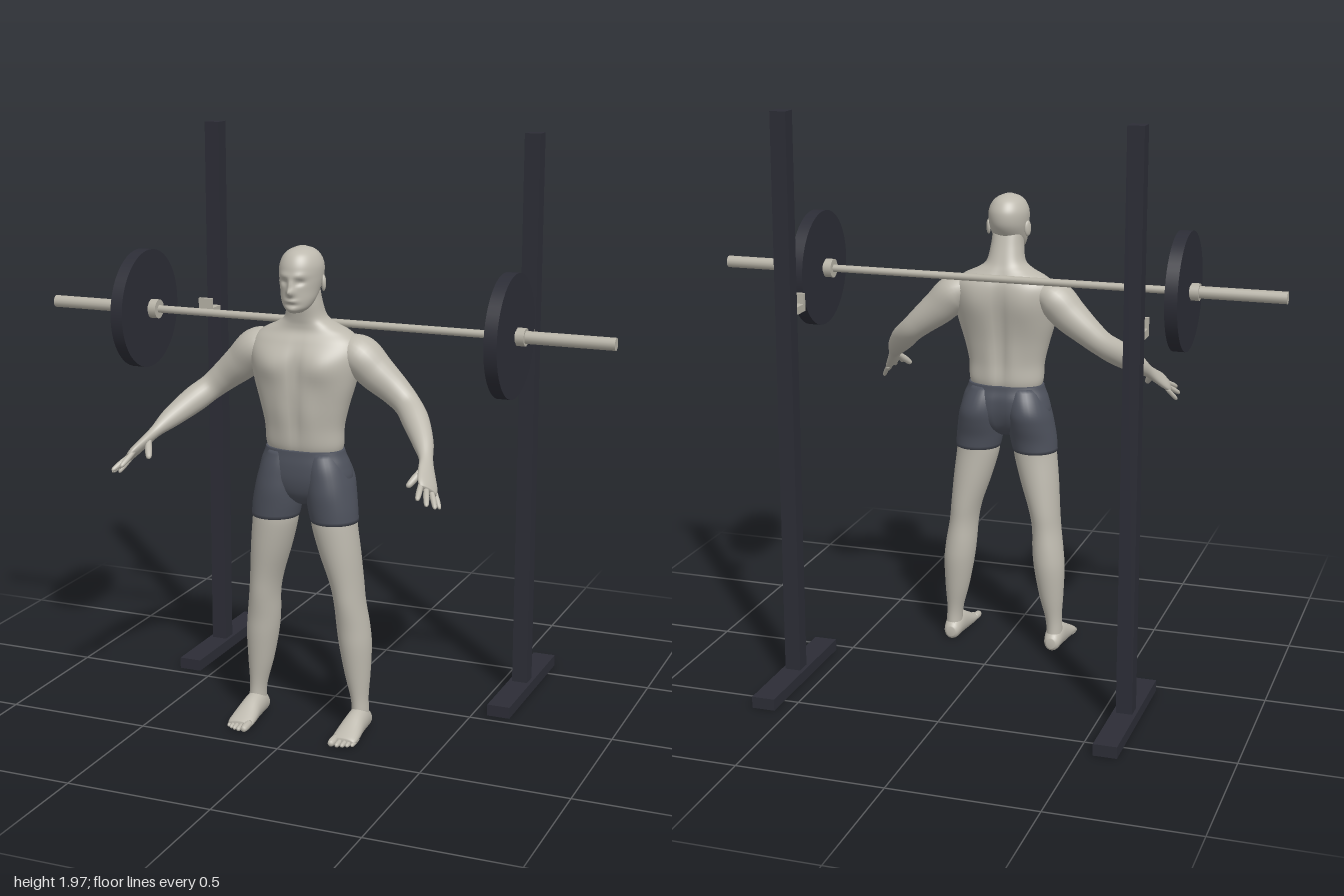
import * as THREE from 'three';

const V = (x, y, z) => new THREE.Vector3(x, y, z);
const X = V(1, 0, 0), Y = V(0, 1, 0), Z = V(0, 0, 1);
const material = (name, color) => Object.assign(new THREE.MeshStandardMaterial({ color }), { name });

// Smooth closed tube through sections [x, y, z, radiusAcross, radiusAlongRef].
// A fixed axis keeps every ring parallel; otherwise rings follow the path.
function loft(sections, { ref = Z, axis = null, sides = 24, detail = 4, power = 2, shape = null } = {}) {
  const path = new THREE.CatmullRomCurve3(sections.map(s => V(s[0], s[1], s[2])), false, 'catmullrom');
  const radii = new THREE.CatmullRomCurve3(sections.map(s => V(s[3], s[4], 0)), false, 'catmullrom');
  const steps = (sections.length - 1) * detail, pos = [], index = [];
  const soften = v => Math.sign(v) * Math.abs(v) ** (2 / power);
  for (let i = -1; i <= steps + 1; i++) {
    const t = Math.min(Math.max(i / steps, 0), 1), capped = i < 0 || i > steps;
    const c = path.getPoint(t), r = radii.getPoint(t);
    const T = axis || path.getTangent(t);
    const side = T.clone().cross(ref).normalize(), up = side.clone().cross(T).normalize();
    for (let j = 0; j < sides; j++) {
      const a = j / sides * Math.PI * 2, k = capped ? 0 : 1;
      const p = c.clone().addScaledVector(side, k * r.x * soften(Math.cos(a)))
        .addScaledVector(up, k * r.y * soften(Math.sin(a)));
      if (shape) shape(p, c);
      pos.push(p.x, p.y, p.z);
    }
  }
  for (let i = 0; i < steps + 2; i++) {
    for (let j = 0; j < sides; j++) {
      const a = i * sides + j, b = i * sides + (j + 1) % sides;
      index.push(a, a + sides, b, b, a + sides, b + sides);
    }
  }
  const geo = new THREE.BufferGeometry();
  geo.setAttribute('position', new THREE.Float32BufferAttribute(pos, 3));
  geo.setIndex(index);
  geo.computeVertexNormals();
  return geo;
}

// Mirrors a geometry across x = 0, keeping its faces outward
function mirrored(geo) {
  const g = geo.index ? geo.toNonIndexed() : geo.clone();
  g.scale(-1, 1, 1);
  for (const attr of Object.values(g.attributes)) {
    const n = attr.itemSize, a = attr.array;
    for (let i = 0; i < attr.count; i += 3) {
      for (let k = 0; k < n; k++) {
        const q = (i + 1) * n + k;
        [a[q], a[q + n]] = [a[q + n], a[q]];
      }
    }
  }
  return g;
}

// Soft swelling (or groove, when negative) at x, y on the front or back of a body
const bump = (p, x, y, wx, wy, amount) =>
  amount * Math.exp(-(((p.x - x) / wx) ** 2) - ((p.y - y) / wy) ** 2);

function shapeTorso(p, c) {
  const depth = THREE.MathUtils.clamp((p.z - c.z) / 0.07, -1, 1), { x: px, y } = p;
  const q = { x: Math.abs(px), y };
  if (depth > 0) {
    p.z += depth * (bump(q, 0.085, 1.255, 0.06, 0.05, 0.016) - bump(q, 0, 1.25, 0.012, 0.07, 0.008)
      - bump(q, 0, 1.08, 0.01, 0.1, 0.005) + bump(q, 0.045, 1.09, 0.03, 0.09, 0.006));
  } else {
    p.z += depth * (bump(q, 0.09, 1.27, 0.06, 0.08, 0.012) - bump(q, 0, 1.16, 0.02, 0.18, 0.014)
      + bump(q, 0.04, 1.04, 0.03, 0.08, 0.005));
  }
}

function shapeHead(p, c) {
  if (p.z < c.z + 0.02) return;
  const q = { x: Math.abs(p.x), y: p.y };
  p.z += bump(q, 0, 1.502, 0.012, 0.013, 0.02) + bump(q, 0, 1.525, 0.009, 0.02, 0.011)
    + bump(q, 0.025, 1.555, 0.025, 0.01, 0.005) - bump(q, 0.028, 1.534, 0.014, 0.01, 0.009)
    + bump(q, 0, 1.474, 0.02, 0.007, 0.006) - bump(q, 0, 1.461, 0.025, 0.006, 0.003)
    + bump(q, 0, 1.444, 0.018, 0.01, 0.005);
}

export function createModel() {
  const model = new THREE.Group();
  model.name = 'lifterWithRack';
  const skin = material('skin', 0xbdb9ae), cloth = material('shorts', 0x4d515c);
  const steel = material('steel', 0xb6b2a6), dark = material('darkFrame', 0x2c2d36);

  const add = (name, geo, mat) => {
    const mesh = new THREE.Mesh(geo, mat);
    mesh.name = name;
    model.add(mesh);
  };
  const pair = (name, geo, mat) => {
    add(name + 'Left', geo, mat);
    add(name + 'Right', mirrored(geo), mat);
  };
  const box = (w, h, d, x, y, z) => new THREE.BoxGeometry(w, h, d).translate(x, y, z);

  // Rack: two posts on feet, each with an L-shaped bar hook
  pair('rackFoot', box(0.08, 0.04, 0.55, 0.59, 0.02, -0.312), dark);
  pair('rackPost', box(0.055, 1.93, 0.055, 0.59, 1.005, -0.308), dark);
  pair('hookArm', box(0.05, 0.026, 0.075, 0.59, 1.302, -0.243), steel);
  pair('hookLip', box(0.05, 0.06, 0.014, 0.59, 1.32, -0.212), steel);

  // Barbell along x
  const rod = (r, x0, x1, sides) => new THREE.CylinderGeometry(r, r, x1 - x0, sides)
    .rotateZ(Math.PI / 2).translate((x0 + x1) / 2, 1.368, 0.13);
  add('barShaft', rod(0.013, -0.61, 0.61, 16), steel);
  pair('barSleeve', rod(0.021, 0.6, 1, 16), steel);
  pair('innerCollar', rod(0.033, 0.597, 0.625, 16), steel);
  pair('weightPlate', rod(0.202, 0.632, 0.675, 48), dark);
  pair('outerCollar', rod(0.03, 0.68, 0.708, 12), steel);

  // Torso and neck
  add('torso', loft([
    [0, 0.955, 0.255, 0.122, 0.068], [0, 0.99, 0.257, 0.133, 0.078], [0, 1.05, 0.26, 0.136, 0.08],
    [0, 1.12, 0.26, 0.152, 0.087], [0, 1.2, 0.256, 0.175, 0.095], [0, 1.28, 0.248, 0.19, 0.098],
    [0, 1.33, 0.238, 0.182, 0.088], [0, 1.362, 0.234, 0.148, 0.073], [0, 1.385, 0.238, 0.1, 0.066],
    [0, 1.41, 0.246, 0.068, 0.062], [0, 1.46, 0.26, 0.057, 0.058], [0, 1.51, 0.268, 0.052, 0.05],
  ], { axis: Y, sides: 64, detail: 6, power: 2.3, shape: shapeTorso }), skin);

  // Head and ears
  add('head', loft([
    [0, 1.434, 0.325, 0.022, 0.03], [0, 1.45, 0.318, 0.042, 0.048], [0, 1.475, 0.306, 0.055, 0.062],
    [0, 1.505, 0.291, 0.062, 0.078], [0, 1.54, 0.281, 0.068, 0.089], [0, 1.58, 0.278, 0.069, 0.089],
    [0, 1.61, 0.278, 0.058, 0.075], [0, 1.628, 0.278, 0.04, 0.054], [0, 1.639, 0.278, 0.015, 0.02],
  ], { axis: Y, sides: 64, detail: 8, shape: shapeHead }), skin);
  pair('ear', new THREE.SphereGeometry(1, 16, 12).scale(0.008, 0.027, 0.016)
    .rotateY(0.4).translate(0.071, 1.523, 0.268), skin);

  // Arm from shoulder to palm
  const palmUp = V(0.78, 0.62, 0.09);
  pair('arm', loft([
    [0.12, 1.315, 0.23, 0.05, 0.042], [0.18, 1.29, 0.23, 0.073, 0.064], [0.235, 1.237, 0.226, 0.064, 0.062],
    [0.3, 1.183, 0.225, 0.05, 0.051], [0.35, 1.14, 0.238, 0.043, 0.044], [0.395, 1.1, 0.282, 0.042, 0.044],
    [0.445, 1.05, 0.35, 0.033, 0.034], [0.475, 1.013, 0.405, 0.025, 0.02], [0.494, 0.984, 0.45, 0.034, 0.017],
    [0.513, 0.957, 0.493, 0.041, 0.015], [0.523, 0.942, 0.514, 0.034, 0.01],
  ], { ref: palmUp, detail: 6 }), skin);

  // Fingers: base, tip and radius
  const digit = (name, a, b, r, ref) => {
    const sections = [[0, 0.9], [0.3, 0.95], [0.55, 1], [0.85, 0.85], [0.96, 0.55], [1, 0.15]].map(([t, k]) =>
      [...V(...a).lerp(V(...b), t).toArray(), r * k, r * k]);
    pair(name, loft(sections, { ref, sides: 10, detail: 2 }), skin);
  };
  digit('indexFinger', [0.5, 0.966, 0.515], [0.512, 0.93, 0.583], 0.0095, palmUp);
  digit('middleFinger', [0.513, 0.953, 0.507], [0.543, 0.915, 0.585], 0.0095, palmUp);
  digit('ringFinger', [0.524, 0.942, 0.492], [0.56, 0.9, 0.553], 0.009, palmUp);
  digit('littleFinger', [0.53, 0.934, 0.474], [0.56, 0.888, 0.51], 0.008, palmUp);
  digit('thumb', [0.482, 0.995, 0.445], [0.45, 0.945, 0.505], 0.012, palmUp);

  // Legs
  pair('leg', loft([
    [0.19, 0.02, 0.235, 0.03, 0.042], [0.19, 0.07, 0.236, 0.028, 0.037], [0.186, 0.12, 0.235, 0.03, 0.038],
    [0.178, 0.2, 0.233, 0.043, 0.05], [0.17, 0.3, 0.233, 0.054, 0.063], [0.163, 0.37, 0.236, 0.055, 0.066],
    [0.155, 0.45, 0.245, 0.051, 0.069], [0.145, 0.52, 0.248, 0.055, 0.073], [0.125, 0.62, 0.256, 0.068, 0.078],
    [0.108, 0.71, 0.262, 0.076, 0.079], [0.103, 0.76, 0.262, 0.076, 0.078],
  ], { axis: Y, sides: 32 }), skin);

  // Feet, flattened on the ground, with toes
  pair('foot', loft([
    [0.19, 0.028, 0.186, 0.016, 0.018], [0.19, 0.03, 0.2, 0.028, 0.032], [0.19, 0.04, 0.24, 0.034, 0.045],
    [0.19, 0.035, 0.29, 0.037, 0.043], [0.19, 0.024, 0.34, 0.043, 0.03], [0.19, 0.016, 0.38, 0.044, 0.018],
    [0.19, 0.013, 0.395, 0.036, 0.012],
  ], { ref: Y, axis: Z, shape: p => { p.y = Math.max(p.y, 0); } }), skin);
  [[0.159, 0.43, 0.0135], [0.179, 0.428, 0.0095], [0.196, 0.422, 0.009], [0.211, 0.414, 0.0085], [0.225, 0.404, 0.008]]
    .forEach(([x, z, r], i) => digit('toe' + (i + 1), [x, r + 0.004, z - 0.055], [x, r, z], r, Y));

  // Shorts: hips plus two legs
  const glutes = (p, c) => {
    if (p.z < c.z) p.z += bump({ x: Math.abs(p.x), y: p.y }, 0, 0.86, 0.02, 0.08, 0.012);
  };
  add('shortsHips', loft([
    [0, 0.785, 0.258, 0.025, 0.035], [0, 0.82, 0.255, 0.105, 0.07], [0, 0.87, 0.252, 0.16, 0.088],
    [0, 0.92, 0.252, 0.155, 0.09], [0, 0.955, 0.255, 0.141, 0.083], [0, 0.974, 0.256, 0.135, 0.08],
  ], { axis: Y, sides: 48, power: 2.2, shape: glutes }), cloth);
  pair('shortsLeg', loft([
    [0.106, 0.733, 0.261, 0.08, 0.083], [0.099, 0.78, 0.26, 0.083, 0.088], [0.092, 0.83, 0.254, 0.082, 0.097],
    [0.086, 0.875, 0.248, 0.079, 0.1], [0.078, 0.92, 0.25, 0.071, 0.092], [0.068, 0.965, 0.255, 0.058, 0.074],
  ], { axis: Y, sides: 32 }), cloth);

  return model;
}
